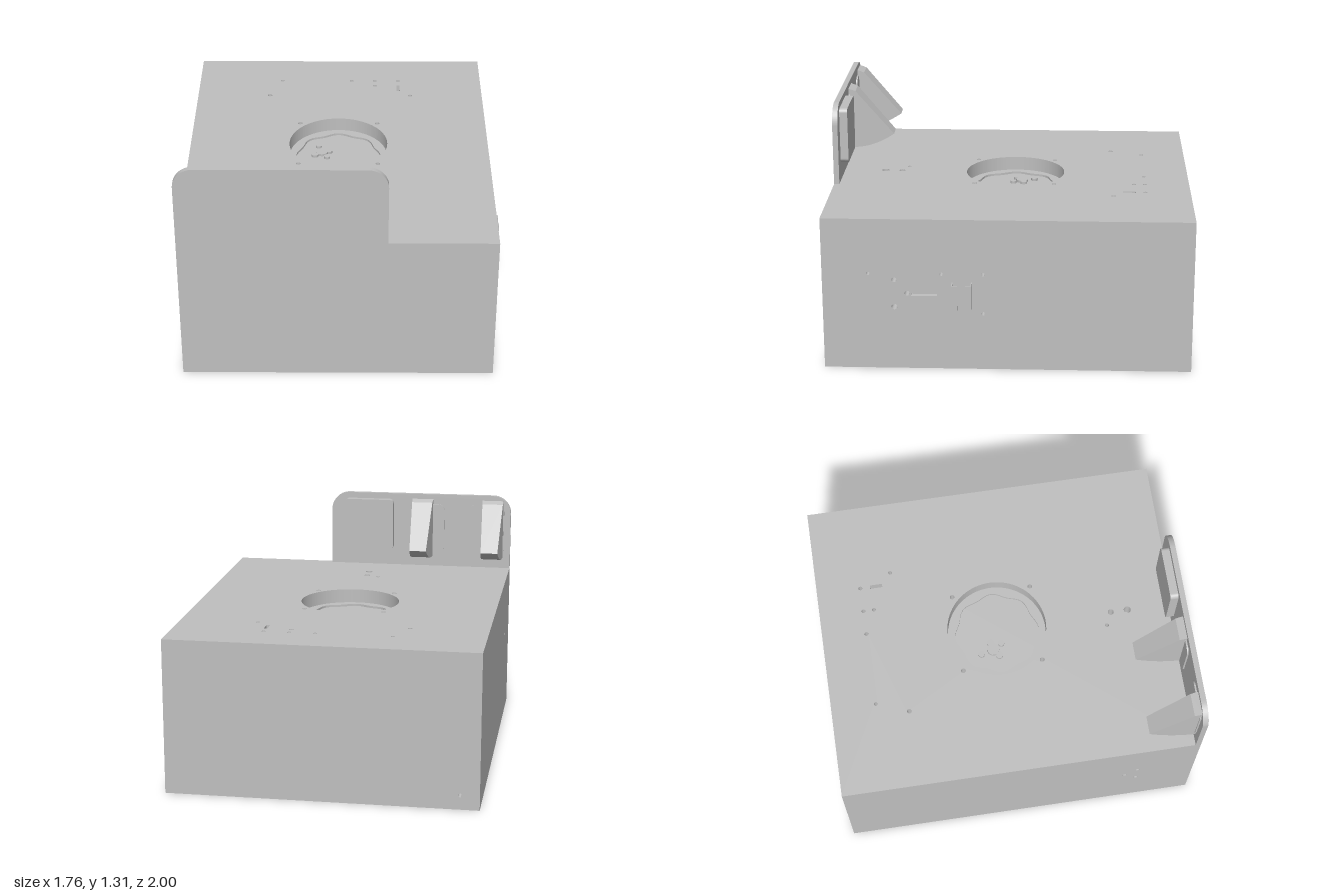
import * as THREE from 'three';

const X0 = -0.88, X1 = 0.82, TOP = 0.86, WALL = 0.09;
const HUB = [-0.035, -0.015];

const grey = new THREE.MeshStandardMaterial({ color: 0xbfbfbf });
grey.name = 'casingGrey';

function rect(x, y, w, h) {
  return [[x, y], [x + w, y], [x + w, y + h], [x, y + h]].map(p => new THREE.Vector2(...p));
}

function roundHole(x, y, r, n = 12) {
  return new THREE.Path().absarc(x, y, r, 0, Math.PI * 2, true).getPoints(n);
}

// Extruded wall; holes are [u, v, radius] or [u, v, width, height] (centred)
function wall(u, v, w, h, depth, holes) {
  const shape = new THREE.Shape(rect(u, v, w, h));
  for (const [a, b, c, d] of holes) {
    shape.holes.push(new THREE.Path(d === undefined
      ? roundHole(a, b, c, c > 0.1 ? 64 : 12) : rect(a - c / 2, b - d / 2, c, d)));
  }
  return new THREE.ExtrudeGeometry(shape, { depth, bevelEnabled: false, curveSegments: 8 });
}

// Rectangle with separately rounded bottom and top corners
function roundedShape(x0, y0, x1, y1, rTop, rBottom) {
  const s = new THREE.Shape();
  s.moveTo(x0 + rBottom, y0);
  s.lineTo(x1 - rBottom, y0);
  if (rBottom) s.absarc(x1 - rBottom, y0 + rBottom, rBottom, -Math.PI / 2, 0);
  s.lineTo(x1, y1 - rTop);
  s.absarc(x1 - rTop, y1 - rTop, rTop, 0, Math.PI / 2);
  s.lineTo(x0 + rTop, y1);
  s.absarc(x0 + rTop, y1 - rTop, rTop, Math.PI / 2, Math.PI);
  s.lineTo(x0, y0 + rBottom);
  if (rBottom) s.absarc(x0 + rBottom, y0 + rBottom, rBottom, Math.PI, Math.PI * 1.5);
  return s;
}

export function createModel() {
  const model = new THREE.Group();
  const add = (name, geometry, x = 0, y = 0, z = 0) => {
    const mesh = new THREE.Mesh(geometry, grey);
    mesh.name = name;
    mesh.position.set(x, y, z);
    model.add(mesh);
    return mesh;
  };
  const box = (name, x0, x1, y0, y1, z0, z1) => add(name,
    new THREE.BoxGeometry(x1 - x0, y1 - y0, z1 - z0),
    (x0 + x1) / 2, (y0 + y1) / 2, (z0 + z1) / 2);

  // Solid middle of the casing
  const low = TOP - WALL;
  box('casingCore', X0 + WALL, X1 - WALL, 0, low, -1 + WALL, 1);

  // Lid with the round well, its screw ears and the small holes
  const topHoles = [
    [...HUB, 0.28],
    [-0.38, -0.75, 0.011], [0.04, -0.75, 0.011], [0.18, -0.75, 0.011], [0.32, -0.75, 0.011],
    [0.18, -0.69, 0.011], [0.39, -0.57, 0.011], [-0.45, -0.57, 0.013],
    [0.32, -0.66, 0.02, 0.07],
    [-0.11, 0.605, 0.011], [-0.035, 0.64, 0.017], [-0.035, 0.735, 0.02],
  ];
  for (const sx of [-1, 1]) for (const sz of [-1, 1]) {
    topHoles.push([HUB[0] + sx * 0.224, HUB[1] + sz * 0.224, 0.013]);
  }
  const lid = wall(X0, -1, X1 - X0, 2, WALL, topHoles.map(([x, z, ...r]) => [x, -z, ...r]));
  add('lid', lid.rotateX(-Math.PI / 2), 0, low, 0);

  // Side walls; holes are given as z, y
  const socket = [[0.61, 0.515, 0.014], [0.61, 0.36, 0.016], [0.54, 0.438, 0.014]];
  const leftHoles = [...socket, [0.75, 0.55, 0.01], [0.355, 0.55, 0.01],
    [0.13, 0.55, 0.01], [0.13, 0.325, 0.01], [0.45, 0.43, 0.14, 0.012]];
  const leftWall = wall(-1, 0, 2, low, WALL, leftHoles.map(([z, ...r]) => [-z, ...r]));
  add('leftWall', leftWall.rotateY(Math.PI / 2), X1 - WALL, 0, 0);
  const rightWall = wall(-1, 0, 2, low, WALL, socket.map(([z, ...r]) => [z + 0.06, ...r]));
  add('rightWall', rightWall.rotateY(-Math.PI / 2), X0 + WALL, 0, 0);

  // Back wall with one cable hole
  const backWall = wall(-X1 + WALL, 0, X1 - X0 - 2 * WALL, low, WALL, [[0.775, 0.08, 0.011]]);
  add('backWall', backWall.rotateY(Math.PI), 0, 0, -1 + WALL);

  // Scalloped ledge on the floor of the well
  const ledge = new THREE.Shape(roundHole(0, 0, 0.279, 64).reverse());
  const scallops = [];
  for (let i = 0; i < 64; i++) {
    const a = i / 64 * Math.PI * 2;
    const r = 0.232 + 0.009 * Math.cos(a * 8);
    scallops.push(new THREE.Vector2(r * Math.cos(a), r * Math.sin(a)));
  }
  ledge.holes.push(new THREE.Path(scallops));
  add('wellLedge', new THREE.ExtrudeGeometry(ledge, { depth: 0.012, bevelEnabled: false })
    .rotateX(-Math.PI / 2), HUB[0], low, HUB[1]);

  // Small cluster of studs in the well
  for (const [x, z, r] of [[-0.15, -0.12, 0.018], [-0.17, -0.02, 0.02], [-0.13, -0.05, 0.035],
    [-0.09, -0.06, 0.02], [-0.1, 0, 0.018]]) {
    add('wellStud', new THREE.CylinderGeometry(r, r, 0.014, 10), x, low + 0.007, z);
  }

  // Upright front panel rising above the lid
  add('frontPanel', new THREE.ExtrudeGeometry(roundedShape(X0, TOP, 0.235, 1.31, 0.11, 0),
    { depth: 0.03, bevelEnabled: false, curveSegments: 12 }), 0, 0, 0.97);

  // Raised cover on the back of the panel
  add('panelCover', new THREE.ExtrudeGeometry(roundedShape(-0.155, 0.96, 0.15, 1.275, 0.025, 0.025),
    { depth: 0.045, bevelEnabled: false }), 0, 0, 0.925);

  // Wedge brackets and their mounting plates
  for (const [cx, plateX] of [[-0.77, -0.73], [-0.335, -0.36]]) {
    add('bracketPlate', new THREE.ExtrudeGeometry(
      roundedShape(plateX - 0.11, 0.94, plateX + 0.11, 1.25, 0.04, 0.04),
      { depth: 0.009, bevelEnabled: false }), 0, 0, 0.961);

    const side = new THREE.Shape();
    side.moveTo(-0.97, 0.925);
    side.lineTo(-0.93, 0.925);
    side.quadraticCurveTo(-0.82, 0.93, -0.71, 1.005);
    side.lineTo(-0.93, 1.265);
    side.lineTo(-0.97, 1.28);
    const wedge = new THREE.ExtrudeGeometry(side, { depth: 0.13, bevelEnabled: false })
      .translate(0, 0, -0.065).rotateY(Math.PI / 2);
    // Narrow towards the tip
    const p = wedge.attributes.position;
    for (let i = 0; i < p.count; i++) {
      p.setX(i, p.getX(i) * (1 - 0.22 * (0.97 - p.getZ(i)) / 0.26));
    }
    wedge.computeVertexNormals();
    add('wedgeBracket', wedge, cx, 0, 0);
  }

  // Pair of angled strips on the left side
  for (const [z, dir] of [[0.19, 1], [0.3, -1]]) {
    const z2 = z + dir * 0.006, z3 = z + dir * 0.033;
    box('stripWeb', X1, 0.88, 0.365, 0.505, Math.min(z, z2), Math.max(z, z2));
    box('stripFlange', 0.872, 0.88, 0.365, 0.505, Math.min(z2, z3), Math.max(z2, z3));
  }

  return model;
}
